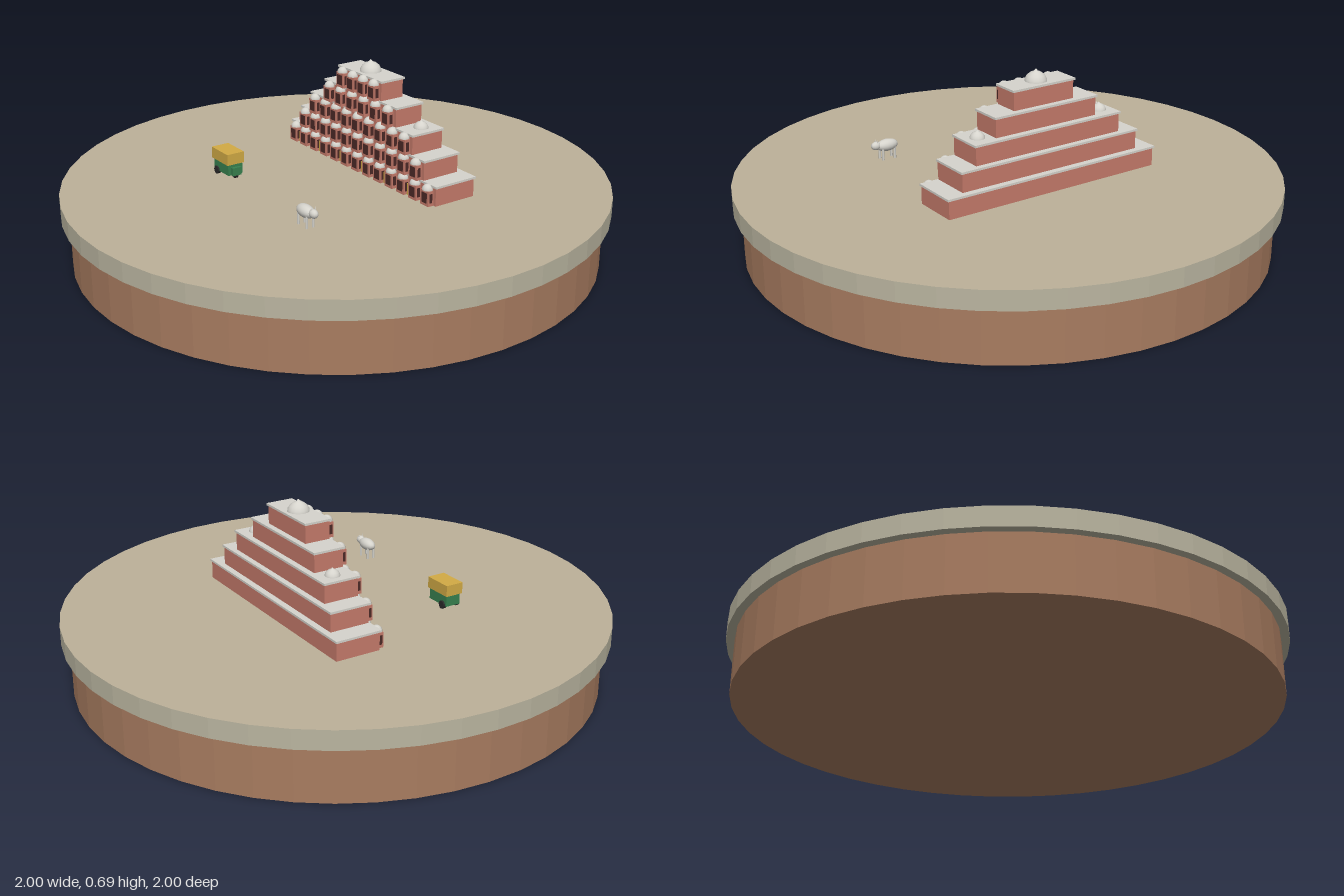
import * as THREE from 'three';

const mat = (name, color, flat = false) => {
  const m = new THREE.MeshStandardMaterial({ color, flatShading: flat });
  m.name = name;
  return m;
};

export function createModel() {
  const soil = mat('soil brown', 0xa87c60, true);
  const stone = mat('rim stone', 0xbab5a0, true);
  const ground = mat('sandy ground', 0xbdb199, true);
  const pink = mat('pink sandstone', 0xc67b6b);
  const dark = mat('dark window', 0x4c2a27);
  const white = mat('pale plaster', 0xd6d4cd);
  const yellow = mat('mustard yellow', 0xd2ab45);
  const green = mat('green paint', 0x38814f);
  const black = mat('black rubber', 0x2b2a2a);

  const model = new THREE.Group();
  const GROUND = 0.27;
  const add = (parent, name, geo, material, x = 0, y = 0, z = 0) => {
    const m = new THREE.Mesh(geo, material);
    m.name = name;
    m.position.set(x, y, z);
    parent.add(m);
    return m;
  };
  const box = (w, h, d) => new THREE.BoxGeometry(w, h, d);
  const group = (name, x, z, angle) => {
    const g = new THREE.Group();
    g.name = name;
    g.position.set(x, GROUND, z);
    g.rotation.y = angle;
    model.add(g);
    return g;
  };
  const TURN = -THREE.MathUtils.degToRad(20);

  // Round base with a wider stone rim
  add(model, 'soilBase', new THREE.CylinderGeometry(0.97, 0.97, 0.2, 48), soil, 0, 0.1, 0);
  add(model, 'groundSlab', new THREE.CylinderGeometry(1, 1, 0.07, 48), [stone, ground, stone], 0, 0.235, 0);

  // Stepped palace: tiers share one front plane and step in at the back and ends
  const palace = group('palace', 0.062, -0.188, TURN);
  const TIER = 0.075, FRONT = 0.086;
  const tiers = [[0.89, 0.172, 13], [0.755, 0.152, 11], [0.62, 0.134, 9], [0.43, 0.115, 6], [0.255, 0.097, 4]];
  const bayGeo = box(0.044, 0.056, 0.024);
  const windowGeo = box(0.027, 0.037, 0.004);
  const sideWindowGeo = box(0.003, 0.034, 0.012);
  const capGeo = new THREE.SphereGeometry(0.021, 10, 5, 0, Math.PI * 2, 0, Math.PI / 2);
  const doorGeo = box(0.022, 0.042, 0.008);
  tiers.forEach(([w, d, n], i) => {
    const y = i * TIER, cz = FRONT - d / 2;
    add(palace, 'tierWall', box(w, TIER - 0.008, d), pink, 0, y + (TIER - 0.008) / 2, cz);
    add(palace, 'tierRoof', box(w + 0.012, 0.008, d + 0.008), white, 0, y + TIER - 0.004, cz);
    const pitch = w / n;
    for (let k = 0; k < n; k++) {
      const x = (k - (n - 1) / 2) * pitch;
      add(palace, 'bay', bayGeo, pink, x, y + 0.028, FRONT + 0.011);
      add(palace, 'bayWindow', windowGeo, dark, x, y + 0.029, FRONT + 0.023);
      for (const s of [-1, 1]) add(palace, 'baySideWindow', sideWindowGeo, dark, x + s * 0.0215, y + 0.029, FRONT + 0.012);
      add(palace, 'bayDome', capGeo, white, x, y + 0.056, FRONT + 0.009);
      // Mustard doors between some ground floor bays
      if (i === 0 && k < n - 1 && k % 2 === 0) add(palace, 'door', doorGeo, yellow, x + pitch / 2, 0.021, FRONT + 0.006);
    }
  });

  // Roof domes with a slight point
  const dome = (r, x, y, z) => {
    const profile = [[1, 0], [0.97, 0.2], [0.8, 0.52], [0.5, 0.76], [0.17, 0.9], [0.08, 1.03], [0, 1.1]];
    const pts = profile.map(([a, b]) => new THREE.Vector2(a * r, b * r));
    add(palace, 'roofDome', new THREE.LatheGeometry(pts, 16), white, x, y, z);
  };
  dome(0.04, 0, TIER * 5, 0.038);
  for (const s of [-1, 1]) dome(0.027, s * 0.265, TIER * 3, 0.012);

  // Three-wheeled taxi
  const taxi = group('taxi', -0.34, 0.207, TURN);
  add(taxi, 'taxiBody', box(0.1, 0.042, 0.06), green, 0, 0.034, 0);
  add(taxi, 'taxiNose', box(0.018, 0.03, 0.036), green, 0.054, 0.028, 0);
  add(taxi, 'taxiCanopy', box(0.112, 0.042, 0.07), yellow, -0.001, 0.076, 0);
  const wheelGeo = new THREE.CylinderGeometry(0.015, 0.015, 0.012, 12).rotateX(Math.PI / 2);
  add(taxi, 'frontWheel', wheelGeo, black, 0.048, 0.015, 0);
  for (const s of [-1, 1]) add(taxi, 'rearWheel', wheelGeo, black, -0.028, 0.015, s * 0.03);

  // Standing cow
  const cow = group('cow', 0.175, 0.43, TURN);
  add(cow, 'cowBody', new THREE.SphereGeometry(1, 14, 10), white, 0, 0.053, 0).scale.set(0.045, 0.023, 0.024);
  add(cow, 'cowHead', new THREE.SphereGeometry(1, 12, 8), white, 0.047, 0.058, 0).scale.set(0.02, 0.016, 0.015);
  const legGeo = new THREE.CylinderGeometry(0.005, 0.005, 0.045, 6);
  const hornGeo = new THREE.ConeGeometry(0.003, 0.012, 6);
  for (const s of [-1, 1]) {
    for (const x of [-0.025, 0.025]) add(cow, 'cowLeg', legGeo, white, x, 0.0225, s * 0.013);
    add(cow, 'cowHorn', hornGeo, white, 0.045, 0.076, s * 0.008);
  }
  return model;
}
